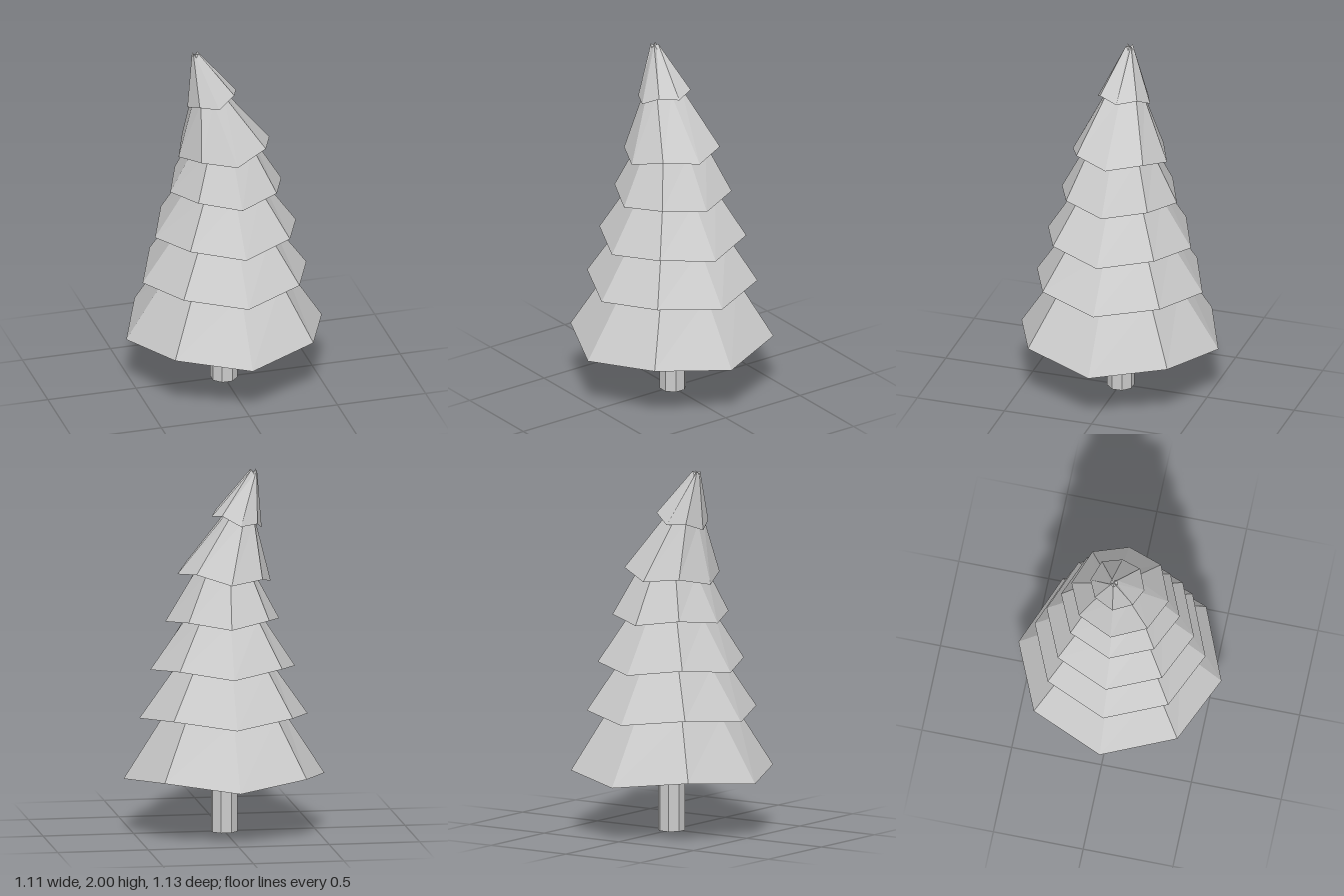
import * as THREE from 'three';

const SIDES = 8;

// Centre x, half widths in x and z, height, lift and outward scale of the diagonal corners, sideways tilt
const rim = (cx, rx, rz, y, lift, tilt = 0) => ({ cx, rx, rz, y, lift, diag: 1, tilt });
const neck = (cx, rx, rz, y, tilt = 0) => ({ cx, rx, rz, y, lift: 0.015, diag: 1.06, tilt });

// Bottom to top: each tier is a wide rim followed by the narrow neck tucked under the next tier
const RINGS = [
  rim(0, 0.555, 0.565, 0.305, 0.04), neck(0, 0.33, 0.34, 0.655),
  rim(0.003, 0.465, 0.475, 0.638, 0.035), neck(0, 0.265, 0.29, 0.92),
  rim(0.008, 0.4, 0.41, 0.905, 0.035), neck(0, 0.21, 0.235, 1.185),
  rim(0.01, 0.315, 0.33, 1.17, 0.03), neck(-0.005, 0.16, 0.19, 1.44, 0.06),
  rim(0, 0.258, 0.27, 1.405, 0.035, 0.1), neck(-0.09, 0.085, 0.11, 1.73, 0.25),
  rim(-0.07, 0.138, 0.15, 1.71, 0.03, 0.25), rim(-0.163, 0.021, 0.02, 1.977, 0.023),
];

function ringPoint(ring, i) {
  const a = (i / SIDES) * Math.PI * 2;
  const diagonal = i % 2 === 1;
  const k = diagonal ? ring.diag : 1;
  const dx = Math.cos(a) * ring.rx * k;
  return [ring.cx + dx, ring.y + (diagonal ? ring.lift : 0) + dx * ring.tilt, Math.sin(a) * ring.rz * k];
}

// Closed loft through all rings, capped at both ends
function foliageGeometry(rings) {
  const positions = [];
  const index = [];
  rings.forEach((ring) => {
    for (let i = 0; i < SIDES; i++) positions.push(...ringPoint(ring, i));
  });
  for (let r = 0; r < rings.length - 1; r++) {
    for (let i = 0; i < SIDES; i++) {
      const j = (i + 1) % SIDES;
      const a = r * SIDES + i, b = r * SIDES + j;
      index.push(a, a + SIDES, b, b, a + SIDES, b + SIDES);
    }
  }
  const last = (rings.length - 1) * SIDES;
  const bottom = rings.length * SIDES;
  const top = bottom + 1;
  positions.push(0, rings[0].y + 0.005, 0);
  positions.push(rings.at(-1).cx, rings.at(-1).y + 0.01, 0);
  for (let i = 0; i < SIDES; i++) {
    const j = (i + 1) % SIDES;
    index.push(bottom, i, j, top, last + j, last + i);
  }
  const indexed = new THREE.BufferGeometry();
  indexed.setAttribute('position', new THREE.Float32BufferAttribute(positions, 3));
  indexed.setIndex(index);
  const geometry = indexed.toNonIndexed();
  geometry.computeVertexNormals();
  return geometry;
}

export function createModel() {
  const tree = new THREE.Group();
  tree.name = 'pineTree';
  const material = new THREE.MeshStandardMaterial({ color: 0xcccccc, flatShading: true });

  // Trunk, ending just inside the lowest tier
  const trunk = new THREE.Mesh(new THREE.CylinderGeometry(0.075, 0.075, 0.32, SIDES), material);
  trunk.name = 'trunk';
  trunk.rotation.y = Math.PI / SIDES;
  trunk.position.set(0, 0.16, -0.005);
  tree.add(trunk);

  // Stacked branch tiers with the bent tip
  const foliage = new THREE.Mesh(foliageGeometry(RINGS), material);
  foliage.name = 'foliage';
  tree.add(foliage);

  return tree;
}
